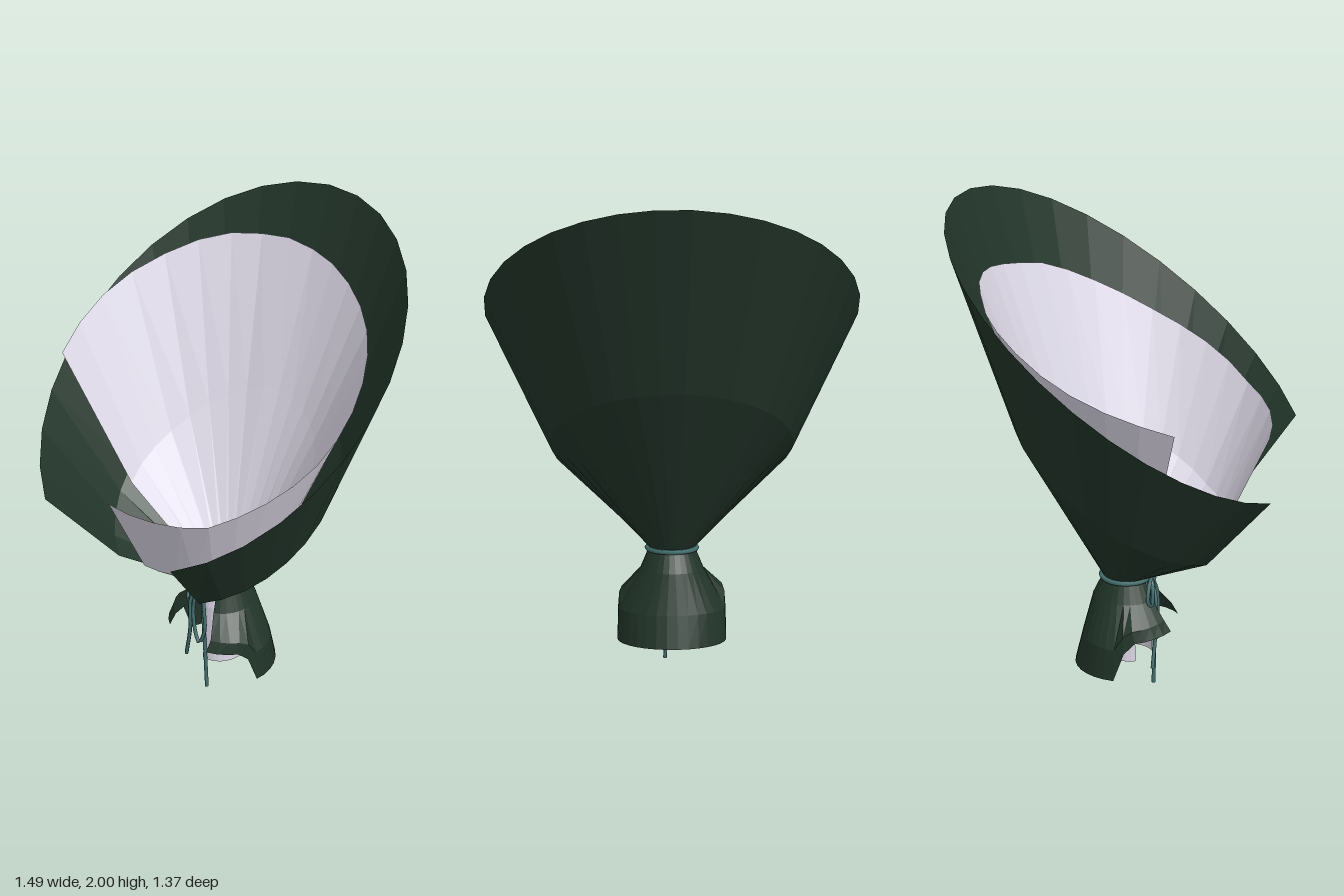
import * as THREE from 'three';

const CZ = 0.03; // depth of the gathered neck
const rad = THREE.MathUtils.degToRad;
const paper = (color) => new THREE.MeshStandardMaterial({ color, flatShading: true, side: THREE.DoubleSide });

// Linear lookup in a small table of [angle, value, value...]
function lookup(table, a, col) {
  let i = 1;
  while (i < table.length - 1 && table[i][0] < a) i++;
  const p = table[i - 1], q = table[i];
  return THREE.MathUtils.mapLinear(a, p[0], q[0], p[col], q[col]);
}

// Open wrapped sheet; angles run from the front (+z) towards +x.
// Each ring is a function of the angle that returns [x, y, z].
function wrap(name, color, from, to, segments, rings) {
  const pos = [], index = [], n = segments + 1;
  rings.forEach((ring, j) => {
    for (let i = 0; i < n; i++) {
      pos.push(...ring(from + (to - from) * i / segments));
      if (j && i) {
        const d = j * n + i, c = d - 1, b = d - n, a = b - 1;
        index.push(a, b, d, a, d, c);
      }
    }
  });
  const geo = new THREE.BufferGeometry();
  geo.setAttribute('position', new THREE.Float32BufferAttribute(pos, 3));
  geo.setIndex(index);
  geo.computeVertexNormals();
  const mesh = new THREE.Mesh(geo, paper(color));
  mesh.name = name;
  return mesh;
}

// Elliptical ring whose height may depend on depth and angle
const oval = (rx, rz, cz, height) => (a) => {
  const z = cz + rz * Math.cos(rad(a));
  return [rx * Math.sin(rad(a)), height(z, a), z];
};
const level = (y) => () => y;

export function createModel() {
  const group = new THREE.Group();

  // Outer paper: slanted cone, pinched neck, flared skirt with raised front flaps
  const hem = [[0, 0.27], [78, 0.25], [93, 0.1], [267, 0.1], [282, 0.26], [360, 0.29]];
  const hip = [[0, 0.31], [78, 0.3], [93, 0.23], [267, 0.23], [282, 0.31], [360, 0.33]];
  group.add(wrap('outerPaper', 0x22352a, 35, 336, 26, [
    oval(0.215, 0.21, 0.04, (z, a) => lookup(hem, a, 1)),
    oval(0.21, 0.18, 0.04, (z, a) => lookup(hip, a, 1)),
    oval(0.125, 0.13, CZ, level(0.39)),
    oval(0.09, 0.09, CZ, level(0.475)),
    oval(0.48, 0.43, 0.01, (z) => 0.907 - 0.674 * z),
    oval(0.745, 0.72, CZ, (z) => 1.49 - 0.74 * z),
  ]));

  // Inner paper: spiral rim table of angle, rim radius, rim height, middle radius, middle height
  const spiral = [
    [0, 0.58, 1.11, 0.40, 0.72], [45, 0.58, 1.15, 0.38, 0.76], [90, 0.575, 1.35, 0.37, 0.9],
    [135, 0.57, 1.6, 0.36, 1.1], [180, 0.57, 1.74, 0.36, 1.18], [205, 0.59, 1.76, 0.36, 1.18],
    [235, 0.65, 1.69, 0.38, 1.08], [270, 0.7, 1.52, 0.4, 0.92], [300, 0.7, 1.37, 0.4, 0.82],
  ];
  const spiralRing = (rCol, yCol) => (a) => {
    const r = lookup(spiral, a, rCol);
    return [r * Math.sin(rad(a)), lookup(spiral, a, yCol), CZ + r * Math.cos(rad(a))];
  };
  group.add(wrap('innerPaper', 0xdcd8e6, 1, 299, 26, [
    oval(0.085, 0.095, 0.04, level(0.13)),
    oval(0.08, 0.09, 0.035, level(0.38)),
    oval(0.075, 0.075, CZ, level(0.475)),
    spiralRing(3, 4),
    spiralRing(1, 2),
  ]));

  // String round the neck
  const stringMaterial = new THREE.MeshStandardMaterial({ color: 0x44706f });
  const tie = new THREE.Mesh(new THREE.TorusGeometry(0.098, 0.01, 6, 28), stringMaterial);
  tie.name = 'neckString';
  tie.rotation.x = Math.PI / 2;
  tie.position.set(0, 0.472, CZ);
  group.add(tie);

  // Bow loops and hanging ends
  const strands = {
    longEnd: [[0, 0.47, 0.135], [0.015, 0.35, 0.145], [0.02, 0.18, 0.14], [0.025, 0.001, 0.135]],
    shortEnd: [[-0.02, 0.47, 0.135], [-0.045, 0.4, 0.16], [-0.05, 0.25, 0.16], [-0.08, 0.11, 0.155]],
    frontLoop: [[0, 0.47, 0.135], [-0.035, 0.4, 0.15], [-0.03, 0.27, 0.155], [0, 0.21, 0.155],
      [0.03, 0.28, 0.15], [0.025, 0.4, 0.15], [0, 0.47, 0.135]],
    sideLoop: [[0, 0.47, 0.135], [-0.06, 0.465, 0.14], [-0.09, 0.4, 0.14], [-0.065, 0.37, 0.15],
      [-0.05, 0.43, 0.15], [0, 0.465, 0.135]],
  };
  for (const [name, points] of Object.entries(strands)) {
    const curve = new THREE.CatmullRomCurve3(points.map((p) => new THREE.Vector3(...p)));
    const strand = new THREE.Mesh(new THREE.TubeGeometry(curve, 20, 0.008, 5), stringMaterial);
    strand.name = name;
    group.add(strand);
  }
  const knot = new THREE.Mesh(new THREE.SphereGeometry(0.018, 8, 6), stringMaterial);
  knot.name = 'knot';
  knot.position.set(0, 0.468, 0.135);
  group.add(knot);

  return group;
}
